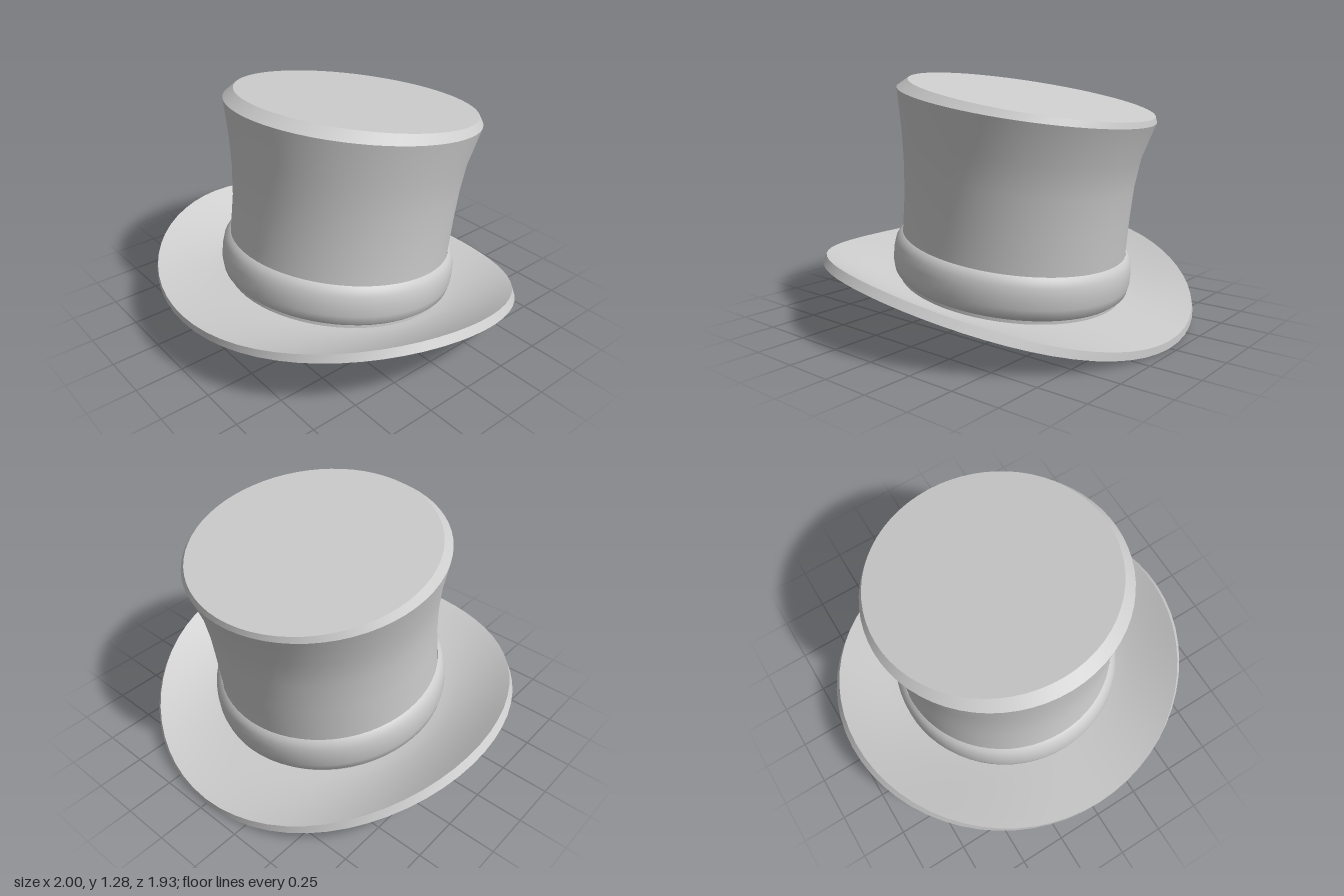
import * as THREE from 'three';

const SEG = 64;
const felt = new THREE.MeshStandardMaterial({ color: 0xcccccc, side: THREE.DoubleSide });
felt.name = 'grey felt';

// Skin a list of closed rings; each ring is a function angle -> [x, y, z]
function loft(name, rings) {
  const pos = [], idx = [];
  for (const ring of rings) {
    for (let j = 0; j < SEG; j++) pos.push(...ring((j / SEG) * Math.PI * 2));
  }
  for (let i = 0; i < rings.length - 1; i++) {
    for (let j = 0; j < SEG; j++) {
      const k = (j + 1) % SEG;
      const a = i * SEG + j, b = i * SEG + k, c = a + SEG, d = b + SEG;
      idx.push(a, b, d, a, d, c);
    }
  }
  const geo = new THREE.BufferGeometry();
  geo.setAttribute('position', new THREE.Float32BufferAttribute(pos, 3));
  geo.setIndex(idx);
  geo.computeVertexNormals();
  const mesh = new THREE.Mesh(geo, felt);
  mesh.name = name;
  return mesh;
}

// Tilted circular ring: centre height, centre z, radius, slope along z, slope along x
const ring = (cy, cz, r, bz = 0.14, ax = 0, cx = 0) => (t) => {
  const x = r * Math.sin(t), z = r * Math.cos(t);
  return [cx + x, cy + ax * x + bz * z, cz + z];
};

// Brim ring: s = 0 at the head opening, 1 at the outer edge; sides curl upwards
const HOLE = 0.595;
const brimRing = (s, top) => (t) => {
  const rx = HOLE + s * ((top ? 0.972 : 1) - HOLE);
  const rz = HOLE + s * (0.965 - HOLE);
  const x = rx * Math.sin(t), z = rz * Math.cos(t);
  const lift = 0.172 * Math.pow(s, 1.5) * Math.sin(t) ** 2;
  return [x, 0.138 + 0.14 * z + lift + (top ? 0.038 : 0), z];
};

export function createModel() {
  const hat = new THREE.Group();
  hat.name = 'topHat';

  // Brim: underside, outer edge, upper side and the wall of the head opening
  const steps = [0, 1, 2, 3, 4, 5, 6, 7, 8].map((i) => i / 8);
  const brim = new THREE.Group();
  brim.name = 'brim';
  brim.add(
    loft('brimUnderside', steps.map((s) => brimRing(s, false))),
    loft('brimEdge', [brimRing(1, false), brimRing(1, true)]),
    loft('brimTop', steps.map((s) => brimRing(1 - s, true))),
    loft('headOpening', [brimRing(0, true), brimRing(0, false)])
  );
  hat.add(brim);

  // Crown: flared wall, bevelled lip and flat top
  const rim = ring(1.135, -0.112, 0.664, 0.158, 0.018, 0.005);
  const lip = ring(1.17, -0.14, 0.63, 0.175, 0.02);
  const crown = new THREE.Group();
  crown.name = 'crown';
  crown.add(
    loft('crownWall', [
      ring(0.172, 0, 0.595),
      ring(0.41, -0.027, 0.592),
      ring(0.605, -0.05, 0.592, 0.143, 0, 0.005),
      ring(0.78, -0.065, 0.601, 0.146, 0.004, 0.008),
      ring(0.94, -0.081, 0.62, 0.15, 0.008, 0.008),
      rim,
    ]),
    loft('crownLip', [rim, lip]),
    loft('crownTop', [lip, ring(1.17, -0.14, 0)])
  );
  hat.add(crown);

  // Rounded ribbon around the foot of the crown
  hat.add(loft('hatBand', [
    ring(0.195, -0.003, 0.6),
    ring(0.215, -0.005, 0.622),
    ring(0.26, -0.01, 0.632),
    ring(0.32, -0.017, 0.632),
    ring(0.365, -0.022, 0.625),
    ring(0.395, -0.026, 0.611),
    ring(0.41, -0.027, 0.594),
  ]));

  return hat;
}
